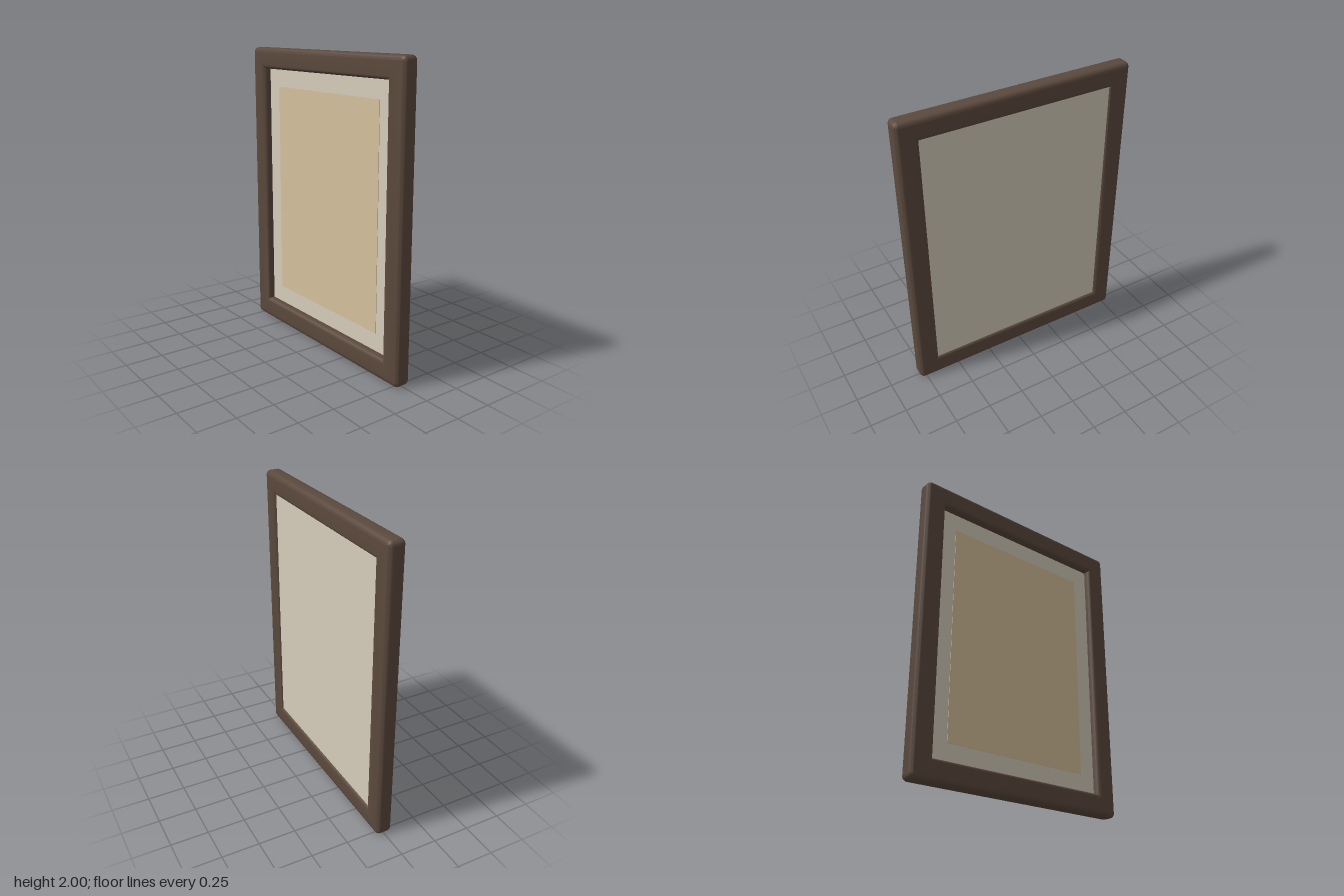
import * as THREE from 'three';
import { toCreasedNormals } from 'three/addons/utils/BufferGeometryUtils.js';

const HALF_W = 0.795, HEIGHT = 2, DEPTH = 0.11;
const OPEN_W = 0.65, OPEN_H = 0.856; // half size of the opening
const ROUND = 0.03;

function material(name, color) {
  const m = new THREE.MeshStandardMaterial({ color });
  m.name = name;
  return m;
}

// Rectangle centred on the origin with rounded corners
function roundedRect(w, h, r) {
  const s = new THREE.Shape();
  s.absarc(w - r, h - r, r, 0, Math.PI / 2);
  s.absarc(r - w, h - r, r, Math.PI / 2, Math.PI);
  s.absarc(r - w, r - h, r, Math.PI, Math.PI * 1.5);
  s.absarc(w - r, r - h, r, Math.PI * 1.5, Math.PI * 2);
  s.closePath();
  return s;
}

// Box between two depths, centred on the frame
function panel(name, halfW, halfH, zBack, zFront, mat) {
  const mesh = new THREE.Mesh(new THREE.BoxGeometry(halfW * 2, halfH * 2, zFront - zBack), mat);
  mesh.position.set(0, HEIGHT / 2, (zBack + zFront) / 2);
  mesh.name = name;
  return mesh;
}

export function createModel() {
  const wood = material('dark wood', 0x5b493d);
  const mat = material('cream mat', 0xd6ccb9);
  const paper = material('tan paper', 0xd5c19c);

  const group = new THREE.Group();
  group.name = 'pictureFrame';

  // Frame with rounded edges around a rectangular opening
  const shape = roundedRect(HALF_W, HEIGHT / 2, ROUND + 0.003);
  shape.holes.push(new THREE.Path([
    new THREE.Vector2(-OPEN_W, -OPEN_H),
    new THREE.Vector2(-OPEN_W, OPEN_H),
    new THREE.Vector2(OPEN_W, OPEN_H),
    new THREE.Vector2(OPEN_W, -OPEN_H),
  ]));
  const geometry = new THREE.ExtrudeGeometry(shape, {
    depth: DEPTH - 2 * ROUND,
    bevelEnabled: true,
    bevelThickness: ROUND,
    bevelSize: ROUND,
    bevelOffset: -ROUND,
    bevelSegments: 5,
    curveSegments: 5,
  });
  geometry.translate(0, HEIGHT / 2, ROUND - DEPTH / 2);
  const frame = new THREE.Mesh(toCreasedNormals(geometry, 0.7), wood);
  frame.name = 'frame';

  // Backing board fills the opening, with the picture laid on its front
  group.add(
    frame,
    panel('backingBoard', OPEN_W + 0.02, OPEN_H + 0.02, -0.04, 0.003, mat),
    panel('picture', 0.535, 0.736, 0.001, 0.006, paper),
  );
  return group;
}
